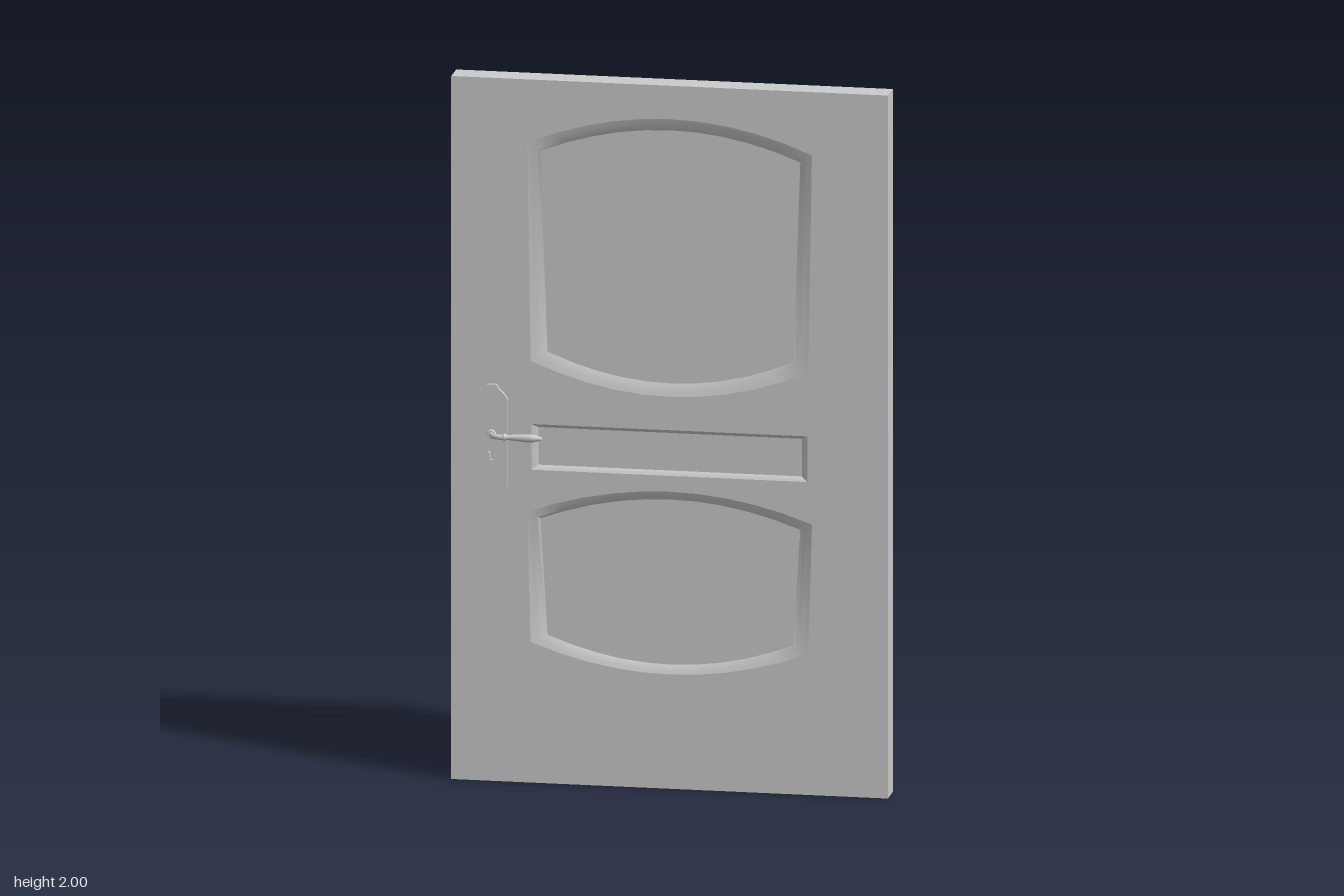
import * as THREE from 'three';
import { toCreasedNormals } from 'three/addons/utils/BufferGeometryUtils.js';

const W = 0.613, H = 2, HALF = 0.038; // half width, height, half thickness
const grey = new THREE.MeshStandardMaterial({ color: 0xcccccc });

function addMesh(parent, name, geometry) {
  const mesh = new THREE.Mesh(geometry, grey);
  mesh.name = name;
  parent.add(mesh);
  return mesh;
}

// Counter-clockwise rectangle outline
function rectLoop(w, y0, y1) {
  return [[-w, y0], [w, y0], [w, y1], [-w, y1]].map(p => new THREE.Vector2(...p));
}

// Counter-clockwise outline with bowed bottom and top edges
function archLoop(wBottom, wTop, y0, y1, rise, n = 10) {
  const pts = [];
  for (let i = 0; i <= n; i++) {
    const t = -1 + 2 * i / n;
    pts.push(new THREE.Vector2(wBottom * t, y0 - rise * (1 - t * t)));
  }
  for (let i = 0; i <= n; i++) {
    const t = 1 - 2 * i / n;
    pts.push(new THREE.Vector2(wTop * t, y1 + rise * (1 - t * t)));
  }
  return pts;
}

// Skin between matching closed outlines, each at its own z
function loft(rings) {
  const position = [], index = [], n = rings[0].pts.length;
  for (const { pts, z } of rings) for (const p of pts) position.push(p.x, p.y, z);
  for (let r = 0; r < rings.length - 1; r++) {
    for (let i = 0; i < n; i++) {
      const a = r * n + i, b = r * n + (i + 1) % n;
      index.push(a, b, b + n, a, b + n, a + n);
    }
  }
  const g = new THREE.BufferGeometry();
  g.setAttribute('position', new THREE.Float32BufferAttribute(position, 3));
  g.setIndex(index);
  return toCreasedNormals(g, 0.6);
}

// Recessed panels: outer outline, inner outline, depth
const panels = [
  { name: 'upperPanel', outer: archLoop(0.39, 0.4, 1.2, 1.82, 0.085), inner: archLoop(0.345, 0.365, 1.225, 1.795, 0.075), depth: 0.013 },
  { name: 'middlePanel', outer: rectLoop(0.388, 0.89, 1.02), inner: rectLoop(0.37, 0.903, 1.01), depth: 0.01 },
  { name: 'lowerPanel', outer: archLoop(0.39, 0.4, 0.4, 0.77, 0.075), inner: archLoop(0.345, 0.365, 0.42, 0.75, 0.07), depth: 0.013 },
];

// One side of the leaf with its mouldings and panels
function makeFace() {
  const face = new THREE.Group();
  const shape = new THREE.Shape(rectLoop(W, 0, H));
  for (const { name, outer, inner, depth } of panels) {
    shape.holes.push(new THREE.Path(outer));
    // Coved moulding: starts shallow, ends steep at the panel
    const rings = [[0, 0], [0.4, 0.3], [0.75, 0.65], [1, 1]].map(([t, d]) => ({
      pts: outer.map((p, i) => p.clone().lerp(inner[i], t)), z: HALF - depth * d,
    }));
    addMesh(face, name + 'Moulding', loft(rings));
    addMesh(face, name, new THREE.ShapeGeometry(new THREE.Shape(inner))).position.z = HALF - depth;
  }
  addMesh(face, 'leafFace', new THREE.ShapeGeometry(shape)).position.z = HALF;
  return face;
}

// Plate and lever; dir is the x direction the lever points
function makeHandle(dir) {
  const handle = new THREE.Group();
  // Back plate with clipped corners and a keyhole
  const half = [[0.045, -0.125], [0.045, 0.125], [0.034, 0.142], [0.022, 0.152], [0.014, 0.166]];
  const corners = [[0.014, -0.166], [0.022, -0.152], [0.034, -0.142], ...half];
  const pts = [...corners, ...corners.map(([x, y]) => [-x, -y])].map(p => new THREE.Vector2(...p));
  const plate = new THREE.Shape(pts);
  const keyhole = new THREE.Path();
  keyhole.moveTo(-0.005, -0.048);
  keyhole.lineTo(0.005, -0.048);
  keyhole.lineTo(0.005, -0.03);
  keyhole.absarc(0, -0.022, 0.009, -0.98, Math.PI + 0.98, false);
  keyhole.closePath();
  plate.holes.push(keyhole);
  addMesh(handle, 'backPlate', new THREE.ExtrudeGeometry(plate, { depth: 0.011, bevelEnabled: false, curveSegments: 6 }));

  // Collar where the lever leaves the plate
  const collar = addMesh(handle, 'collar', new THREE.CylinderGeometry(0.011, 0.014, 0.008, 20));
  collar.rotation.x = Math.PI / 2;
  collar.position.set(0, 0.025, 0.014);

  // Curved neck
  const neck = new THREE.CatmullRomCurve3(
    [[0, 0.008], [0.003, 0.022], [0.012, 0.035], [0.026, 0.041], [0.042, 0.041]]
      .map(([x, z]) => new THREE.Vector3(dir * x, 0.025, z)));
  addMesh(handle, 'leverNeck', new THREE.TubeGeometry(neck, 16, 0.0075, 12));

  // Turned grip with a ring at its root and a small tip
  const profile = [[0, 0], [0.009, 0.001], [0.011, 0.005], [0.008, 0.01], [0.007, 0.016], [0.009, 0.035],
    [0.011, 0.06], [0.0115, 0.08], [0.009, 0.096], [0.006, 0.1], [0.007, 0.105], [0.004, 0.11], [0, 0.111]];
  const grip = addMesh(handle, 'leverGrip',
    new THREE.LatheGeometry(profile.map(p => new THREE.Vector2(...p)), 16));
  grip.rotation.z = -dir * Math.PI / 2;
  grip.position.set(dir * 0.037, 0.025, 0.04);
  return handle;
}

export function createModel() {
  const door = new THREE.Group();
  door.name = 'door';

  // Narrow edges around the leaf
  const outline = rectLoop(W, 0, H);
  addMesh(door, 'leafEdges', loft([{ pts: outline, z: -HALF }, { pts: outline, z: HALF }]));

  // Both sides, the back one turned half round
  for (const [name, angle, dir] of [['front', 0, 1], ['back', Math.PI, -1]]) {
    const side = new THREE.Group();
    side.name = name + 'Side';
    side.rotation.y = angle;
    const face = makeFace();
    face.name = name + 'Face';
    const handle = makeHandle(dir);
    handle.name = name + 'Handle';
    handle.position.set(-dir * 0.498, 0.964, HALF);
    side.add(face, handle);
    door.add(side);
  }
  return door;
}
